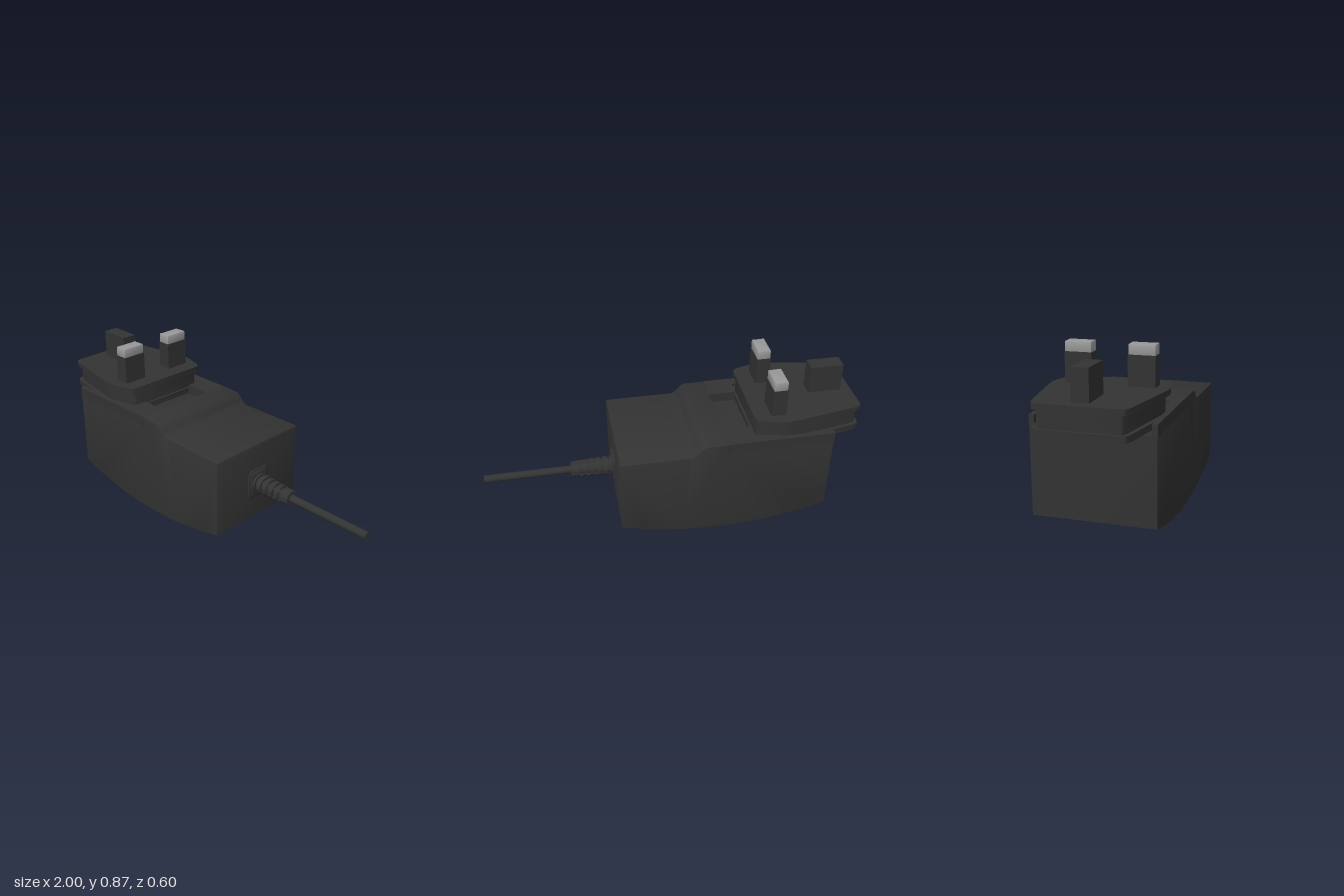
import * as THREE from 'three';
import { toCreasedNormals } from 'three/addons/utils/BufferGeometryUtils.js';

const dark = new THREE.MeshStandardMaterial({ color: 0x333333 });
const metal = new THREE.MeshStandardMaterial({ color: 0x999999 });
const green = new THREE.MeshStandardMaterial({ color: 0x10a010 });

export function createModel() {
  const model = new THREE.Group();

  const add = (name, geometry, material = dark, parent = model) => {
    const mesh = new THREE.Mesh(geometry, material);
    mesh.name = name;
    parent.add(mesh);
    return mesh;
  };

  // Extrudes a shape with an optional inward bevel, so the outline keeps its size
  const extrude = (shape, depth, bevel = 0) => {
    const g = new THREE.ExtrudeGeometry(shape, {
      depth: depth - 2 * bevel, bevelEnabled: bevel > 0, bevelSize: bevel,
      bevelThickness: bevel, bevelOffset: -bevel, bevelSegments: 2, curveSegments: 20,
    });
    g.translate(0, 0, bevel);
    return toCreasedNormals(g, 0.5);
  };

  // A horizontal plate drawn in x and z, between two heights
  const plate = (shape, y0, y1, bevel = 0) =>
    extrude(shape, y1 - y0, bevel).rotateX(Math.PI / 2).translate(0, y1, 0);

  const box = (x0, x1, y0, y1, z0, z1) =>
    new THREE.BoxGeometry(x1 - x0, y1 - y0, z1 - z0)
      .translate((x0 + x1) / 2, (y0 + y1) / 2, (z0 + z1) / 2);

  const polygon = (pts) => new THREE.Shape(pts.map(([x, y]) => new THREE.Vector2(x, y)));

  const roundedRect = (w, h, r) => {
    const s = new THREE.Shape();
    s.absarc(w / 2 - r, h / 2 - r, r, 0, Math.PI / 2);
    s.absarc(-w / 2 + r, h / 2 - r, r, Math.PI / 2, Math.PI);
    s.absarc(-w / 2 + r, -h / 2 + r, r, Math.PI, Math.PI * 1.5);
    s.absarc(w / 2 - r, -h / 2 + r, r, Math.PI * 1.5, Math.PI * 2);
    return s;
  };

  // Housing: curved underside, stepped top, sunken seat for the plug head
  const side = new THREE.Shape();
  side.moveTo(-0.84, 0.09);
  side.quadraticCurveTo(-0.27, -0.082, 0.295, 0.085);
  side.lineTo(0.295, 0.5);
  side.quadraticCurveTo(0.295, 0.515, 0.28, 0.515);
  side.lineTo(-0.07, 0.515);
  side.bezierCurveTo(-0.12, 0.515, -0.115, 0.573, -0.17, 0.573);
  side.lineTo(-0.27, 0.573);
  side.lineTo(-0.27, 0.52);
  side.lineTo(-0.84, 0.52);
  add('housing', extrude(side, 0.604, 0.005).translate(0, 0, -0.302));

  // Rails on both sides of the seat
  for (const s of [1, -1]) {
    const rail = polygon([
      [-0.84, 0.302], [-0.84, 0.275], [-0.58, 0.275], [-0.42, 0.24],
      [-0.42, 0.163], [-0.27, 0.163], [-0.27, 0.302],
    ].map(([x, z]) => [x, s * z]));
    add('seatRail', plate(rail, 0.51, 0.573));
  }

  // Plug head: lower lip, narrower neck and top flange share one outline
  const plug = new THREE.Group();
  plug.name = 'plugHead';
  plug.position.z = -0.004;
  model.add(plug);
  const half = [[-1, 0.195], [-0.992, 0.212], [-0.965, 0.225], [-0.62, 0.286],
    [-0.58, 0.29], [-0.54, 0.284], [-0.45, 0.257], [-0.428, 0.245], [-0.42, 0.228]];
  const outline = (inset) => {
    const k = 1 - inset / 0.29;
    const kx = 1 - inset / 0.58;
    const pts = half.map(([x, z]) => [-0.71 + (x + 0.71) * kx, z * k]);
    return polygon([...pts, ...pts.slice().reverse().map(([x, z]) => [x, -z])]);
  };
  add('plugLip', plate(outline(0), 0.525, 0.557), dark, plug);
  add('plugNeck', plate(outline(0.024), 0.54, 0.66), dark, plug);
  add('plugFlange', plate(outline(0), 0.643, 0.671), dark, plug);

  // Pins: one earth pin and two sleeved pins with metal tips
  add('earthPin', box(-0.942, -0.765, 0.66, 0.825, -0.05, 0.034), dark, plug);
  for (const s of [1, -1]) {
    const z = s * 0.156;
    add('pinSleeve', box(-0.585, -0.509, 0.66, 0.82, z - 0.067, z + 0.067), dark, plug);
    const tip = extrude(roundedRect(0.07, 0.13, 0.002), 0.06, 0.006)
      .rotateX(-Math.PI / 2).translate(-0.547, 0.81, z);
    add('pinTip', tip, metal, plug);
  }

  // Cable exit, with everything set along the cable axis
  const cableGroup = new THREE.Group();
  cableGroup.name = 'cableExit';
  cableGroup.position.set(0.29, 0.286, 0);
  model.add(cableGroup);
  const collar = (w, h, r, d) => extrude(roundedRect(w, h, r), d, 0.003).rotateY(Math.PI / 2);
  add('collar', collar(0.148, 0.168, 0.03, 0.012), dark, cableGroup);
  add('collarPad', collar(0.116, 0.14, 0.012, 0.018), dark, cableGroup);

  // Ribbed strain relief: tapered rings separated by grooves
  const profile = [[0, 0], [0.054, 0], [0.054, 0.03]];
  for (let i = 0; i < 5; i++) {
    const t = 0.03 + i * 0.038;
    const r = 0.054 - i * 0.0022;
    profile.push([r - 0.013, t], [r - 0.013, t + 0.014], [r, t + 0.014], [r - 0.002, t + 0.038]);
  }
  profile.push([0.043, 0.236], [0.039, 0.243], [0, 0.243]);
  const relief = new THREE.LatheGeometry(profile.map(([r, y]) => new THREE.Vector2(r, y)), 32);
  add('strainRelief', toCreasedNormals(relief, 0.5).rotateZ(-Math.PI / 2), dark, cableGroup);
  // Four webs bridging the grooves
  for (let i = 0; i < 4; i++) {
    const web = add('reliefWeb', box(0.02, 0.225, 0.03, 0.043, -0.007, 0.007), dark, cableGroup);
    web.rotation.x = Math.PI / 4 + (i * Math.PI) / 2;
  }

  const cable = new THREE.CylinderGeometry(0.021, 0.021, 0.48, 24);
  add('cable', cable.rotateZ(-Math.PI / 2).translate(0.47, 0, 0), dark, cableGroup);

  // Indicator light on the underside
  const light = add('indicatorLight', new THREE.CylinderGeometry(0.014, 0.014, 0.02, 20), green);
  light.position.set(-0.745, 0.067, 0.25);
  light.rotation.z = -0.27;

  return model;
}
